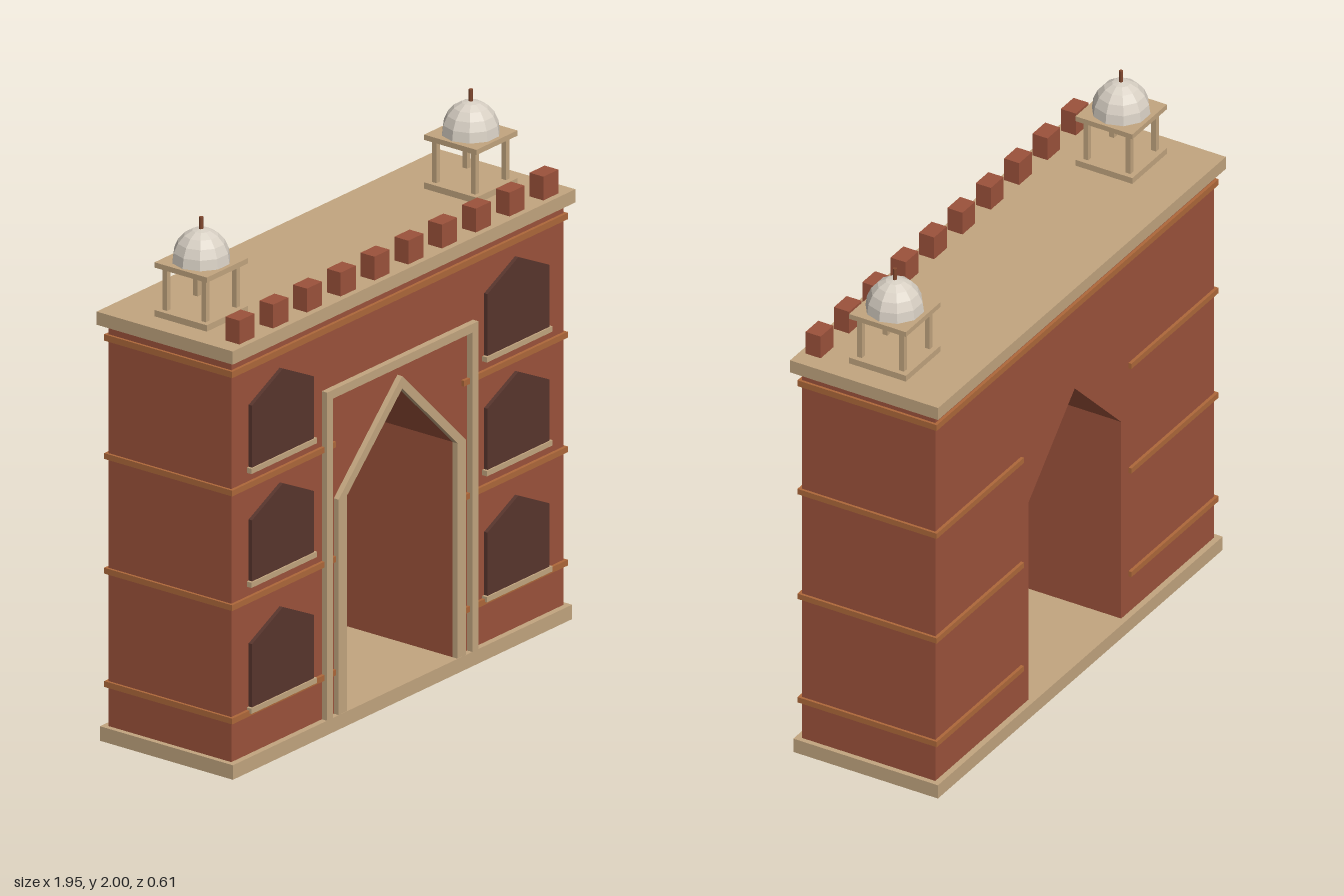
import * as THREE from 'three';

const mat = (name, color) => new THREE.MeshStandardMaterial({ name, color });

export function createModel() {
  const brick = mat('brick red', 0x9c523b);
  const sand = mat('sandstone', 0xc2a57f);
  const ochre = mat('ochre band', 0xae683a);
  const dark = mat('dark recess', 0x58352d);
  const marble = mat('pale marble', 0xd8d0c4);
  const rust = mat('finial brown', 0x84492f);
  marble.flatShading = true;

  const model = new THREE.Group();
  model.name = 'gateway';

  function add(parent, name, geometry, material, x = 0, y = 0, z = 0) {
    const mesh = new THREE.Mesh(geometry, material);
    mesh.name = name;
    mesh.position.set(x, y, z);
    parent.add(mesh);
    return mesh;
  }
  // Box given by its limits on each axis
  function box(parent, name, material, x0, x1, y0, y1, z0, z1) {
    return add(parent, name, new THREE.BoxGeometry(x1 - x0, y1 - y0, z1 - z0), material,
      (x0 + x1) / 2, (y0 + y1) / 2, (z0 + z1) / 2);
  }
  // Outline in the xy plane extruded from z0 to z1
  function plate(parent, name, material, points, z0, z1) {
    const shape = new THREE.Shape(points.map(([x, y]) => new THREE.Vector2(x, y)));
    const geometry = new THREE.ExtrudeGeometry(shape, { depth: z1 - z0, bevelEnabled: false });
    return add(parent, name, geometry, material, 0, 0, z0);
  }

  // Plinth, wall with pointed passage, cornice
  const floor = 0.055, spring = 0.872;
  const opening = [[-0.315, floor], [-0.315, spring], [0, 1.18], [0.315, spring], [0.315, floor]];
  box(model, 'plinth', sand, -0.965, 0.965, 0, floor, -0.298, 0.298);
  plate(model, 'wall', brick,
    [[-0.945, floor], ...opening, [0.945, floor], [0.945, 1.58], [-0.945, 1.58]], -0.275, 0.275);
  box(model, 'cornice', sand, -0.975, 0.975, 1.58, 1.63, -0.305, 0.305);
  box(model, 'topBand', ochre, -0.955, 0.955, 1.518, 1.542, -0.287, 0.287);

  // Stone trim around the arch and the rectangular portal frame
  plate(model, 'archTrim', sand,
    [...opening, [0.362, floor], [0.362, spring], [0, 1.227], [-0.362, spring], [-0.362, floor]],
    0.275, 0.297);
  plate(model, 'portalFrame', sand,
    [[-0.43, floor], [-0.397, floor], [-0.397, 1.267], [0.397, 1.267], [0.397, floor],
      [0.43, floor], [0.43, 1.3], [-0.43, 1.3]], 0.275, 0.299);

  // Side bays: bands and blind windows on three storeys
  const storeys = [
    { band: 0.215, sill: 0.235, shoulder: 0.475, peak: 0.56 },
    { band: 0.645, sill: 0.713, shoulder: 0.945, peak: 1.03 },
    { band: 1.08, sill: 1.145, shoulder: 1.38, peak: 1.465 },
  ];
  for (const side of [-1, 1]) {
    const cx = side * 0.67;
    const bay = new THREE.Group();
    bay.name = side > 0 ? 'leftBay' : 'rightBay';
    model.add(bay);
    for (const { band, sill, shoulder, peak } of storeys) {
      const b0 = band - 0.011, b1 = band + 0.011;
      const inner = side * 0.364, outer = side * 0.955;
      const x0 = Math.min(inner, outer), x1 = Math.max(inner, outer);
      // Band runs along the front, the end and the back
      for (const face of [-1, 1]) {
        const z0 = face > 0 ? 0.27 : -0.287;
        box(bay, 'bandStrip', ochre, x0, x1, b0, b1, z0, z0 + 0.017);
      }
      const e0 = side > 0 ? 0.94 : -0.955;
      box(bay, 'bandEnd', ochre, e0, e0 + 0.015, b0, b1, -0.27, 0.27);

      plate(bay, 'windowPanel', dark,
        [[cx - 0.176, sill], [cx + 0.176, sill], [cx + 0.176, shoulder], [cx, peak],
          [cx - 0.176, shoulder]], 0.275, 0.29);
      box(bay, 'windowSill', sand, cx - 0.187, cx + 0.187, sill - 0.02, sill, 0.275, 0.296);
    }
  }

  // Row of merlons along the front edge
  for (let i = 0; i < 10; i++) {
    const x = -0.865 + i * 1.73 / 9;
    box(model, 'merlon', brick, x - 0.043, x + 0.043, 1.63, 1.72, 0.22, 0.282);
  }

  // Domed roof kiosks
  for (const side of [-1, 1]) {
    const kiosk = new THREE.Group();
    kiosk.name = side > 0 ? 'leftKiosk' : 'rightKiosk';
    kiosk.position.x = side * 0.767;
    model.add(kiosk);
    box(kiosk, 'kioskBase', sand, -0.117, 0.117, 1.63, 1.654, -0.117, 0.117);
    box(kiosk, 'kioskSlab', sand, -0.117, 0.117, 1.815, 1.835, -0.117, 0.117);
    for (const x of [-0.087, 0.087]) {
      for (const z of [-0.087, 0.087]) {
        box(kiosk, 'kioskPost', sand, x - 0.01, x + 0.01, 1.654, 1.815, z - 0.01, z + 0.01);
      }
    }
    const dome = new THREE.SphereGeometry(0.106, 10, 5, 0, Math.PI * 2, 0, Math.PI / 2);
    add(kiosk, 'dome', dome, marble, 0, 1.835).scale.y = 1.15;
    add(kiosk, 'finial', new THREE.CylinderGeometry(0.008, 0.008, 0.06, 6), rust, 0, 1.97);
  }
  return model;
}
